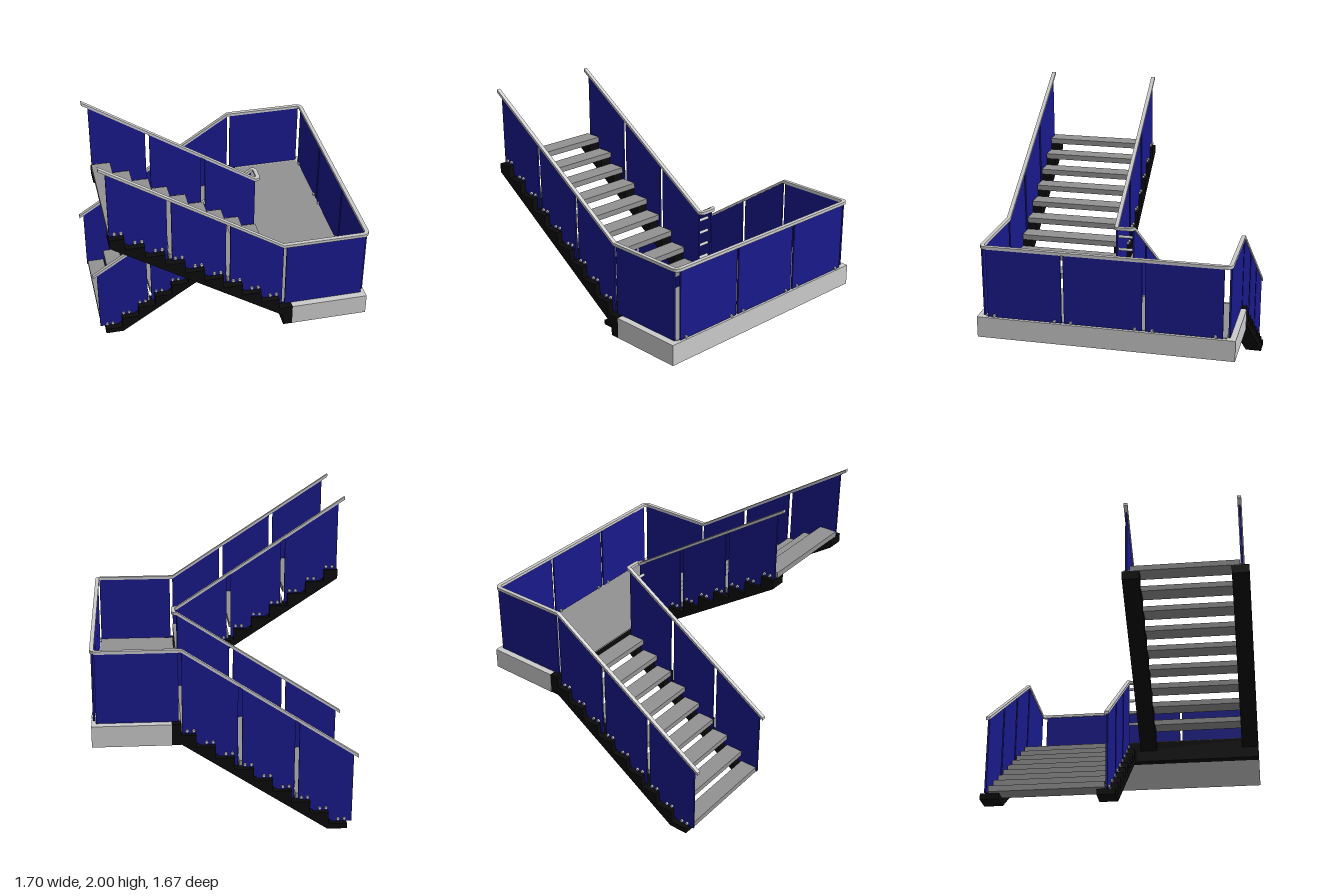
import * as THREE from 'three';

const mat = (color, side = THREE.FrontSide) => new THREE.MeshStandardMaterial({ color, side });
const GREY = mat(0xcccccc), TREAD = mat(0x929292), BLACK = mat(0x0b0b0b), GLASS = mat(0x19198c);

const GOING = 0.1222, RISE = 0.0818, STEPS = 9, RUN = GOING * STEPS, SLOPE = RISE / GOING;
const THICK = 0.037, NOSE = 0.03, RAIL_Y = 1.245, RAIL_SLOPE = 0.657, FLOOR = 0.77;

function add(parent, name, geometry, material, x = 0, y = 0, z = 0) {
  const m = new THREE.Mesh(geometry, material);
  m.name = name;
  m.position.set(x, y, z);
  parent.add(m);
  return m;
}

function box(parent, name, material, x0, x1, y0, y1, z0, z1) {
  return add(parent, name, new THREE.BoxGeometry(x1 - x0, y1 - y0, z1 - z0), material,
    (x0 + x1) / 2, (y0 + y1) / 2, (z0 + z1) / 2);
}

// Upright plate: outline in x/y, thickness along z
function plate(parent, name, material, pts, z0, z1) {
  const shape = new THREE.Shape(pts.map(p => new THREE.Vector2(p[0], p[1])));
  const g = new THREE.ExtrudeGeometry(shape, { depth: z1 - z0, bevelEnabled: false });
  return add(parent, name, g, material, 0, 0, z0);
}

// Rectangular handrail with mitred corners along a path
function rail(parent, name, path, w = 0.026, h = 0.02) {
  const P = path.map(p => new THREE.Vector3(...p));
  const perp = (a, b) => new THREE.Vector3(a.z - b.z, 0, b.x - a.x).normalize();
  const rings = P.map((p, i) => {
    const n0 = perp(P[Math.max(i - 1, 0)], P[Math.max(i, 1)]);
    const n1 = i < P.length - 1 ? perp(p, P[i + 1]) : n0;
    const s = n0.clone().add(n1).normalize();
    s.multiplyScalar(w / 2 / s.dot(n0));
    return [[1, -1], [1, 1], [-1, 1], [-1, -1]].map(([a, b]) =>
      p.clone().addScaledVector(s, a).add(new THREE.Vector3(0, b * h / 2, 0)));
  });
  const pos = [];
  const quad = (a, b, c, d) => [a, b, c, a, c, d].forEach(v => pos.push(v.x, v.y, v.z));
  for (let i = 0; i < rings.length - 1; i++)
    for (let k = 0; k < 4; k++) {
      const l = (k + 1) % 4;
      quad(rings[i][k], rings[i][l], rings[i + 1][l], rings[i + 1][k]);
    }
  quad(...rings[0]);
  quad(...rings[rings.length - 1]);
  const g = new THREE.BufferGeometry();
  g.setAttribute('position', new THREE.Float32BufferAttribute(pos, 3));
  g.computeVertexNormals();
  add(parent, name, g, mat(0xcccccc, THREE.DoubleSide));
}

// One straight flight; u runs uphill from the first nosing
function flight(o) {
  const g = new THREE.Group();
  g.name = o.name;
  const X = u => o.x0 + o.dir * u;
  const under = i => o.top0 - THICK + i * RISE;
  const base = u => under(0) + (u - GOING) * SLOPE;
  const railAt = u => o.rail0 + RAIL_SLOPE * u;

  // Treads
  for (let i = 0; i < STEPS; i++) {
    const a = X(i * GOING + 0.001), b = X((i + 1) * GOING - 0.001);
    box(g, 'tread', TREAD, Math.min(a, b), Math.max(a, b), under(i), under(i) + THICK, o.tread[0], o.tread[1]);
  }

  // Saw-tooth stringers
  const outline = o.foot
    ? [[NOSE, 0], [GOING + (0.06 - under(0)) / SLOPE, 0]]
    : [[NOSE, FLOOR], [0, FLOOR], [0, base(0) - 0.06]];
  outline.push([RUN, base(RUN) - 0.06], [RUN, under(STEPS - 1)]);
  for (let i = STEPS - 1; i >= 0; i--) {
    outline.push([i * GOING + NOSE, under(i)]);
    if (i > 0) outline.push([i * GOING + NOSE, under(i - 1)]);
  }
  for (const [z0, z1] of o.stringers)
    plate(g, 'stringer', BLACK, outline.map(([u, y]) => [X(u), y]), z0, z1);

  // Glass panels and their point fixings
  const spans = [[o.foot ? -0.005 : 0.005, 0.35], [0.377, 0.715], [0.742, RUN - 0.005]];
  for (const z of o.glass) {
    for (const [a, b] of spans) {
      const low = Math.max(base(a), o.minGlass);
      const pts = [[a, railAt(a) - 0.008], [a, low]];
      const kink = GOING + (o.minGlass - under(0)) / SLOPE;
      if (kink > a && kink < b) pts.push([kink, o.minGlass]);
      pts.push([b, base(b)], [b, railAt(b) - 0.008]);
      plate(g, 'glassPanel', GLASS, pts.map(([u, y]) => [X(u), y]), z - 0.006, z + 0.006);
    }
    for (let i = 0; i < STEPS; i++)
      for (const d of [0.037, 0.078]) {
        const f = new THREE.CylinderGeometry(0.01, 0.01, 0.036, 12).rotateX(Math.PI / 2);
        add(g, 'glassFixing', f, GREY, X((i + 1) * GOING - d), under(i) + THICK / 2, z);
      }
  }
  return g;
}

export function createModel() {
  const model = new THREE.Group();
  model.name = 'staircase';
  const LO = -0.795, LI = -0.067, UI = 0.045, UO = 0.788, EAST = 0.835;

  model.add(flight({
    name: 'lowerFlight', x0: -0.81, dir: 1, top0: 0.074, foot: true, minGlass: 0.037,
    rail0: RAIL_Y - RAIL_SLOPE * RUN, tread: [-0.78, -0.08], glass: [LO, LI],
    stringers: [[-0.835, -0.72], [-0.13, -0.017]],
  }));
  model.add(flight({
    name: 'upperFlight', x0: 0.29, dir: -1, top0: 0.885, foot: false, minGlass: FLOOR + 0.005,
    rail0: RAIL_Y, tread: [0.068, 0.775], glass: [UI, UO],
    stringers: [[0.018, 0.13], [0.72, 0.833]],
  }));

  // Landing
  const landing = new THREE.Group();
  landing.name = 'landing';
  model.add(landing);
  box(landing, 'landingSlab', GREY, 0.35, 0.85, 0.63, FLOOR, -0.838, 0.833);
  box(landing, 'headerBeam', BLACK, 0.29, 0.35, 0.63, FLOOR, -0.835, 0.833);
  box(landing, 'landingFloor', TREAD, 0.29, 0.825, FLOOR - 0.002, FLOOR + 0.004, -0.78, 0.775);

  // Landing glass
  for (const z of [LO, UO])
    box(landing, 'sideGlass', GLASS, 0.305, 0.82, FLOOR + 0.005, RAIL_Y - 0.008, z - 0.006, z + 0.006);
  for (const [a, b] of [[-0.757, -0.268], [-0.248, 0.255], [0.272, 0.76]]) {
    box(landing, 'endGlass', GLASS, EAST - 0.006, EAST + 0.006, FLOOR + 0.005, RAIL_Y - 0.008, a, b);
    for (const z of [a + 0.045, b - 0.045])
      add(landing, 'glassFixing', new THREE.CylinderGeometry(0.01, 0.01, 0.03, 12).rotateZ(Math.PI / 2),
        GREY, EAST, FLOOR + 0.016, z);
  }

  // Spacer bars joining the two inner balustrades
  for (let i = 0; i < 4; i++)
    add(model, 'spacerBar', new THREE.CylinderGeometry(0.01, 0.01, UI - LI, 12).rotateX(Math.PI / 2),
      GREY, 0.255, 0.9 + i * 0.09, (UI + LI) / 2);

  // Handrails, each running up, around the landing and up again
  const lowY = RAIL_Y - RAIL_SLOPE * 1.135, highY = 1.99;
  const loop = (x, za, zb, r) => {
    const c = [];
    for (const [z, s] of [[za, 1], [zb, -1]])
      for (let k = 0; k <= 4; k++) {
        const t = (s > 0 ? k : 4 - k) * Math.PI / 8;
        c.push([x - r + r * Math.sin(t), RAIL_Y, z + s * r * (1 - Math.cos(t))]);
      }
    return c;
  };
  const handrail = (name, x, za, zb, r) => rail(model, name, [
    [-0.845, lowY, za], [0.285, RAIL_Y, za], ...loop(x, za, zb, r), [0.285, RAIL_Y, zb], [-0.845, highY, zb]]);
  handrail('outerHandrail', EAST, LO, UO, 0.03);
  handrail('innerHandrail', 0.308, LI, UI, 0.018);

  return model;
}
